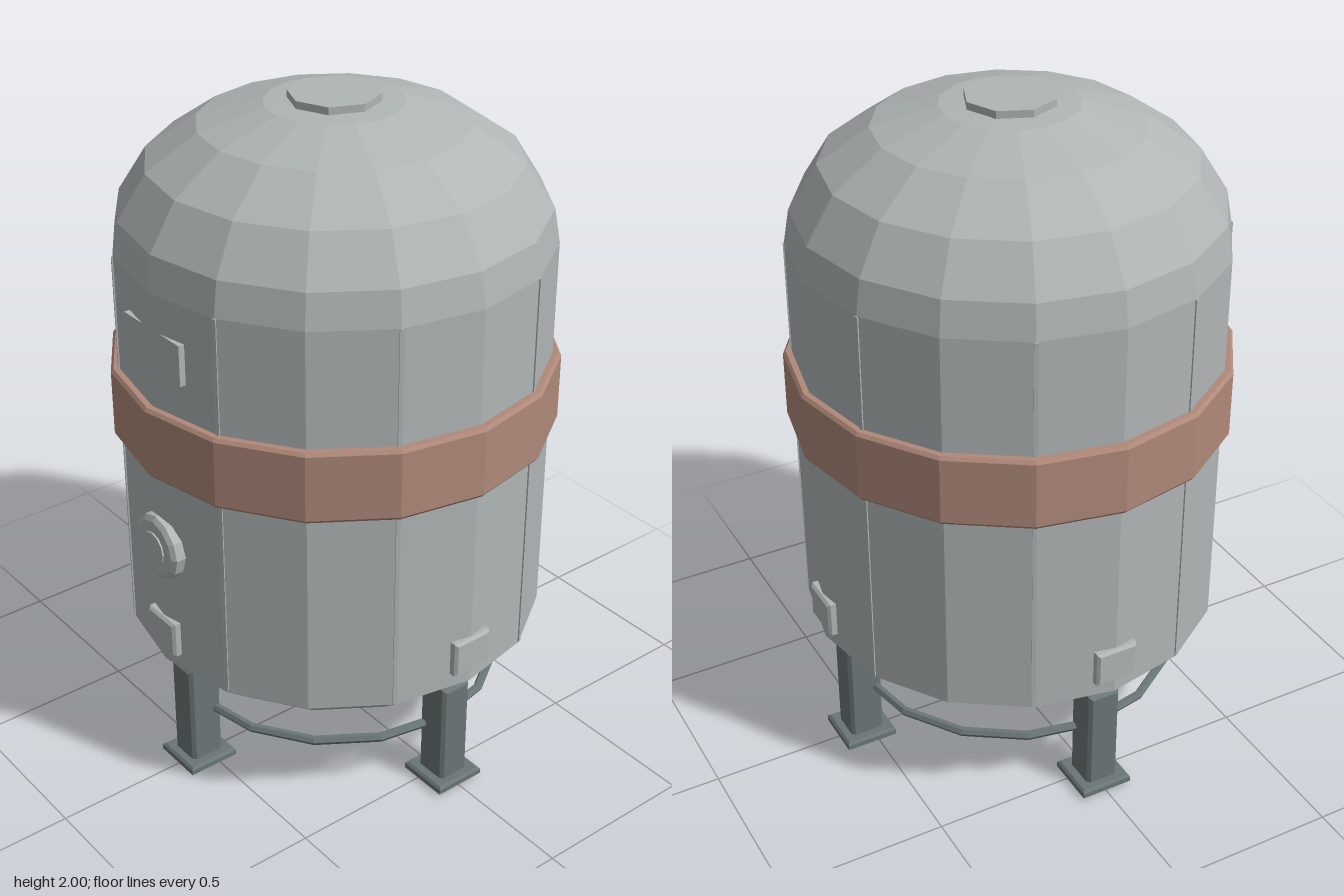
import * as THREE from 'three';

const flat = (name, color) => {
  const m = new THREE.MeshStandardMaterial({ color, flatShading: true });
  m.name = name;
  return m;
};

// Box with chamfered front and back edges, centred on the origin
function chamferBox(w, h, d, b) {
  const x = w / 2 - b, y = h / 2 - b;
  const shape = new THREE.Shape([
    new THREE.Vector2(-x, -y), new THREE.Vector2(x, -y),
    new THREE.Vector2(x, y), new THREE.Vector2(-x, y),
  ]);
  const geo = new THREE.ExtrudeGeometry(shape, {
    depth: d - 2 * b, bevelEnabled: true, bevelSize: b, bevelThickness: b, bevelSegments: 1,
  });
  return geo.translate(0, 0, -(d - 2 * b) / 2);
}

const lathe = (points, sides = 16) =>
  new THREE.LatheGeometry(points.map(([r, y]) => new THREE.Vector2(r, y)), sides);

export function createModel() {
  const root = new THREE.Group();
  root.name = 'storageTank';
  const shell = flat('shellGrey', 0xb0b5b6);
  const copper = flat('bandCopper', 0xb0897a);
  const dark = flat('frameGrey', 0x6b7676);

  const add = (parent, name, geo, mat, x = 0, y = 0, z = 0) => {
    const mesh = new THREE.Mesh(geo, mat);
    mesh.name = name;
    mesh.position.set(x, y, z);
    parent.add(mesh);
    return mesh;
  };

  // Tank shell with faceted dome
  add(root, 'tankShell', lathe([
    [0.53, 0.325], [0.625, 0.405], [0.625, 1.59], [0.607, 1.69],
    [0.525, 1.82], [0.38, 1.92], [0.195, 1.975], [0, 1.985],
  ]), shell);

  // Shallow dish closing the underside
  add(root, 'bottomDish', lathe([[0, 0.29], [0.33, 0.29], [0.53, 0.325]]), dark);

  // Cap on the dome
  add(root, 'topCap', new THREE.CylinderGeometry(0.13, 0.13, 0.04, 8), shell, 0, 1.98, 0);

  // Band around the middle
  add(root, 'band', lathe([
    [0.61, 1.035], [0.642, 1.035], [0.65, 1.045], [0.65, 1.24], [0.642, 1.25], [0.61, 1.25],
  ]), copper);

  // Vertical seams on the shell corners
  for (let i = 0; i < 8; i++) {
    const a = Math.PI / 8 + i * Math.PI / 4;
    const seam = add(root, 'seam', new THREE.BoxGeometry(0.012, 1.18, 0.012), shell,
      Math.sin(a) * 0.622, 1.0, Math.cos(a) * 0.622);
    seam.rotation.y = a;
  }

  // Round port on the front: flange, chamfer and centre disc
  const port = new THREE.Group();
  port.name = 'frontPort';
  port.position.set(0, 0.8, 0);
  root.add(port);
  const disc = (name, rFront, rBack, z0, z1) => {
    const geo = new THREE.CylinderGeometry(rFront, rBack, z1 - z0, 12).rotateX(Math.PI / 2);
    add(port, name, geo, shell, 0, 0, (z0 + z1) / 2);
  };
  disc('portFlange', 0.1, 0.1, 0.59, 0.635);
  disc('portRim', 0.085, 0.1, 0.635, 0.645);
  disc('portCentre', 0.05, 0.05, 0.64, 0.65);

  // Name plate mostly sunk into the front corner of the shell
  add(root, 'frontPlate', new THREE.BoxGeometry(0.26, 0.12, 0.04), shell, 0, 1.42, 0.597);

  // Tie ring joining the legs
  add(root, 'tieRing', new THREE.TorusGeometry(0.5, 0.014, 6, 16).rotateX(Math.PI / 2),
    dark, 0, 0.19, 0);

  // Four sides: leg, foot and small access cover
  ['front', 'left', 'back', 'right'].forEach((side, i) => {
    const g = new THREE.Group();
    g.name = side + 'Support';
    g.rotation.y = i * Math.PI / 2;
    root.add(g);
    add(g, 'leg', chamferBox(0.1, 0.34, 0.105, 0.01), dark, 0, 0.185, 0.525);
    add(g, 'foot', chamferBox(0.16, 0.16, 0.03, 0.007).rotateX(Math.PI / 2), dark, 0, 0.015, 0.525);
    add(g, 'accessCover', chamferBox(0.13, 0.11, 0.045, 0.008), shell, 0, 0.507, 0.615);
  });

  return root;
}
